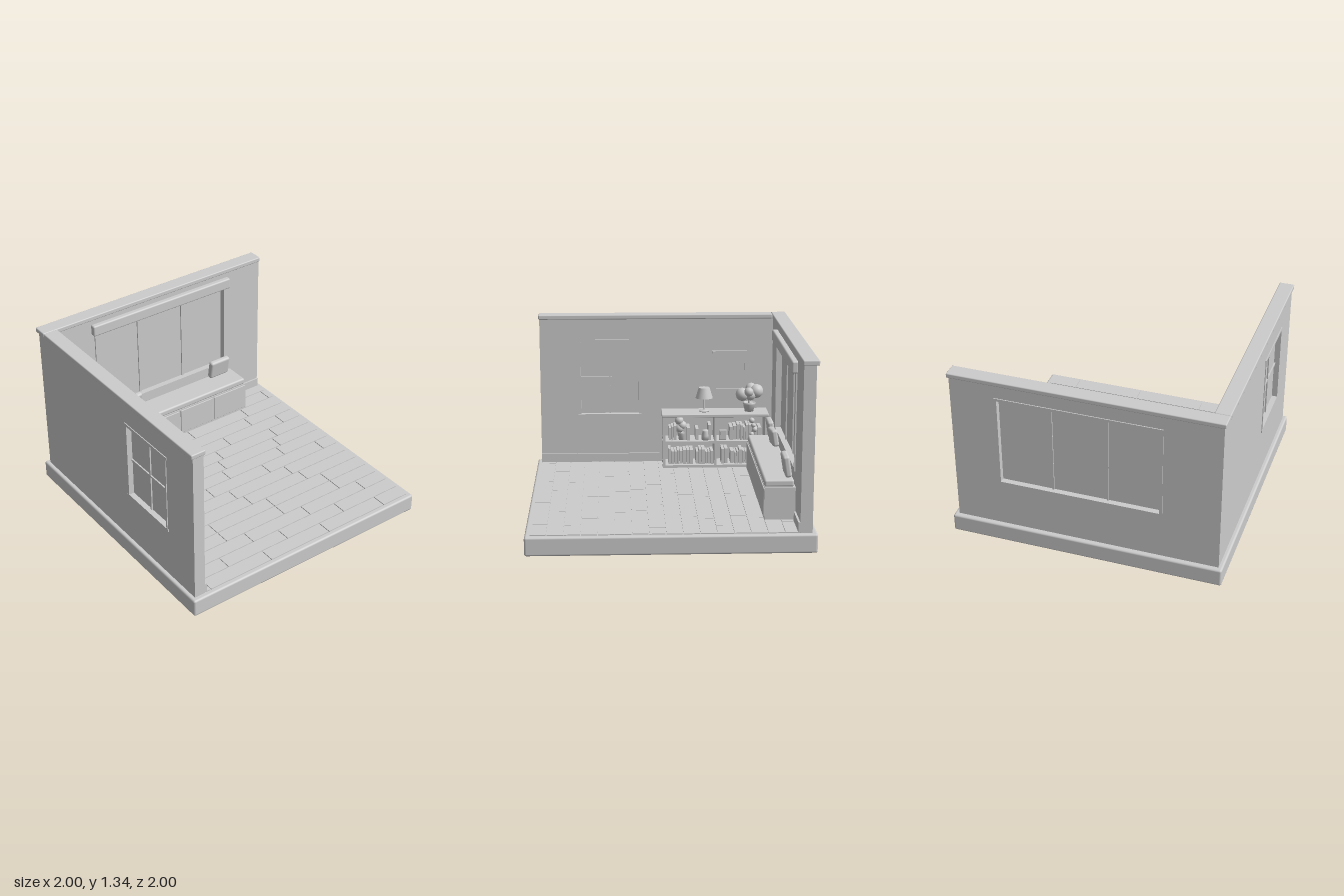
import * as THREE from 'three';
import { RoundedBoxGeometry } from 'three/addons/geometries/RoundedBoxGeometry.js';

export function createModel() {
  const room = new THREE.Group();
  room.name = 'roomCorner';
  const clay = new THREE.MeshStandardMaterial({ color: 0xcccccc });
  clay.name = 'plain grey';

  let seed = 7;
  const rand = () => (seed = (seed * 16807) % 2147483647) / 2147483647;

  const group = (name, parent = room) => {
    const g = new THREE.Group();
    g.name = name;
    parent.add(g);
    return g;
  };
  const add = (parent, name, geometry, x = 0, y = 0, z = 0) => {
    const m = new THREE.Mesh(geometry, clay);
    m.name = name;
    m.position.set(x, y, z);
    parent.add(m);
    return m;
  };
  // box given by its bounds, with an optional rounded edge
  const box = (parent, name, x0, x1, y0, y1, z0, z1, r = 0) => {
    const s = [x1 - x0, y1 - y0, z1 - z0];
    const geo = r ? new RoundedBoxGeometry(...s, 2, r) : new THREE.BoxGeometry(...s);
    return add(parent, name, geo, (x0 + x1) / 2, (y0 + y1) / 2, (z0 + z1) / 2);
  };
  const ball = (parent, name, x, y, z, r) =>
    add(parent, name, new THREE.SphereGeometry(r, 18, 12), x, y, z);
  const lathe = (parent, name, points, x, y, z) =>
    add(parent, name, new THREE.LatheGeometry(points.map(p => new THREE.Vector2(...p)), 28), x, y, z);

  // base slab and staggered floor planks
  box(room, 'base', -1, 1, 0, 0.135, -1, 1, 0.015);
  const floor = group('floor');
  const rowW = 0.1163, plankL = 0.525, gap = 0.003;
  const joints = [0.74, 0.45, 0.23, 0.605, 0.08, 0.485, -0.615, 0.31, 0.54, -0.46, -0.4, 0.28, 0.05, 0.63, 0.4, 0.2];
  joints.forEach((joint, i) => {
    const z1 = 0.966 - i * rowW, z0 = Math.max(z1 - rowW, -0.88);
    const first = joint - Math.ceil((joint + 0.88) / plankL) * plankL;
    for (let x = first; x < 0.966; x += plankL) {
      const a = Math.max(x, -0.88), b = Math.min(x + plankL, 0.966);
      if (b - a > 0.02) box(floor, 'plank', a + gap, b - gap, 0.128, 0.142, z0 + gap, z1 - gap);
    }
  });

  // back wall around its wide window
  const back = group('backWall');
  const bz = [-0.965, -0.88];
  box(back, 'wallLeftPart', -0.97, -0.545, 0.13, 1.305, ...bz);
  box(back, 'wallRightPart', 0.625, 0.965, 0.13, 1.305, ...bz);
  box(back, 'wallBelow', -0.545, 0.625, 0.13, 0.485, ...bz);
  box(back, 'wallAbove', -0.545, 0.625, 1.185, 1.305, ...bz);
  box(back, 'cap', -0.985, 0.975, 1.3, 1.336, -0.985, -0.872, 0.008);
  box(back, 'glass', -0.545, 0.625, 0.485, 1.185, -0.93, -0.915);
  for (const x of [-0.56, 0.62]) box(back, 'frameSide', x, x + 0.02, 0.48, 1.195, -0.972, -0.87);
  for (const y of [0.48, 1.175]) box(back, 'frameRail', -0.56, 0.64, y, y + 0.02, -0.972, -0.87);
  for (const x of [-0.16, 0.24]) box(back, 'mullion', x - 0.006, x + 0.006, 0.49, 1.185, -0.94, -0.905);
  box(back, 'valance', -0.585, 0.66, 1.18, 1.266, -0.885, -0.838, 0.012);
  box(back, 'baseboardRight', 0.715, 0.965, 0.14, 0.21, -0.885, -0.866);
  box(back, 'baseboardLeft', -0.87, -0.635, 0.14, 0.21, -0.885, -0.866);

  // left wall around its four-pane window
  const side = group('sideWall');
  const sx = [-0.97, -0.885];
  box(side, 'wallFrontPart', ...sx, 0.13, 1.305, 0.65, 0.965);
  box(side, 'wallRearPart', ...sx, 0.13, 1.305, -0.88, 0.18);
  box(side, 'wallBelow', ...sx, 0.13, 0.525, 0.18, 0.65);
  box(side, 'wallAbove', ...sx, 1.125, 1.305, 0.18, 0.65);
  box(side, 'cap', -0.985, -0.872, 1.3, 1.336, -0.872, 0.972, 0.008);
  box(side, 'glass', -0.935, -0.92, 0.525, 1.125, 0.18, 0.65);
  for (const y of [0.515, 1.117]) box(side, 'frameRail', -0.976, -0.875, y, y + 0.02, 0.164, 0.666);
  for (const z of [0.172, 0.645]) box(side, 'frameSide', -0.976, -0.878, 0.525, 1.125, z, z + 0.013);
  box(side, 'mullion', -0.945, -0.91, 0.53, 1.12, 0.408, 0.422);
  box(side, 'crossBar', -0.945, -0.91, 0.818, 0.832, 0.185, 0.645);
  box(side, 'baseboard', -0.89, -0.87, 0.14, 0.21, 0.02, 0.965);

  // framed picture on the left wall
  const picture = group('picture');
  box(picture, 'canvas', -0.886, -0.871, 0.73, 1.03, -0.665, -0.41);
  for (const y of [0.72, 1.022]) box(picture, 'frameRail', -0.886, -0.863, y, y + 0.02, -0.675, -0.398);
  for (const z of [-0.675, -0.415]) box(picture, 'frameSide', -0.886, -0.863, 0.72, 1.042, z, z + 0.017);

  // window bench with door panels, seat pad and pillows
  const bench = group('bench');
  box(bench, 'chest', -0.607, 0.685, 0.14, 0.376, -0.88, -0.664);
  for (let i = 0; i < 4; i++) {
    const x = -0.6 + i * 0.321;
    box(bench, 'door', x + 0.006, x + 0.312, 0.16, 0.366, -0.668, -0.656, 0.003);
  }
  box(bench, 'seatPad', -0.592, 0.675, 0.376, 0.428, -0.87, -0.662, 0.015);
  for (const [x, w, h, turn] of [[-0.465, 0.18, 0.155, 0], [-0.28, 0.15, 0.13, 0.12], [0.537, 0.18, 0.155, 0]]) {
    const p = add(bench, 'pillow', new RoundedBoxGeometry(w, h, 0.048, 3, 0.018), x, 0.427 + h / 2, -0.828);
    p.rotation.set(0.16, turn, 0);
  }

  // open bookcase along the left wall
  const shelf = group('bookcase');
  const kx = [-0.88, -0.668];
  box(shelf, 'top', -0.88, -0.658, 0.552, 0.576, -0.835, 0.008, 0.004);
  box(shelf, 'backPanel', -0.88, -0.862, 0.14, 0.555, -0.825, 0);
  box(shelf, 'bottom', ...kx, 0.14, 0.163, -0.825, 0);
  box(shelf, 'middleShelf', ...kx, 0.337, 0.357, -0.825, 0);
  for (const z of [-0.825, -0.425, -0.02]) box(shelf, 'upright', ...kx, 0.14, 0.555, z, z + 0.018);

  // book runs: start z, end z, shelf height
  const books = group('books');
  for (const [za, zb, y] of [[-0.05, -0.115, 0.357], [-0.165, -0.21, 0.357], [-0.26, -0.3, 0.357],
    [-0.36, -0.4, 0.357], [-0.53, -0.66, 0.357], [-0.66, -0.79, 0.357], [-0.045, -0.24, 0.163],
    [-0.265, -0.395, 0.163], [-0.465, -0.52, 0.163], [-0.54, -0.8, 0.163]]) {
    for (let z = za; z > zb + 0.015;) {
      const w = 0.015 + rand() * 0.012;
      box(books, 'book', -0.84, -0.695 - rand() * 0.02, y, y + 0.09 + rand() * 0.035, z - w, z);
      z -= w + 0.004;
    }
  }

  // small ornaments on the upper shelf
  const ornaments = group('ornaments');
  const potShape = (r, h) => [[0, 0], [r * 0.68, 0], [r * 0.95, h * 0.82], [r, h * 0.82], [r, h],
    [r * 0.85, h], [r * 0.8, h * 0.88], [0, h * 0.88]];
  lathe(ornaments, 'smallPot', potShape(0.032, 0.065), -0.73, 0.357, -0.15);
  for (const [y, z, r] of [[0.515, -0.13, 0.034], [0.475, -0.155, 0.034], [0.45, -0.135, 0.034]])
    ball(ornaments, 'smallLeaves', -0.73, y, z, r);
  lathe(ornaments, 'vase', [[0, 0], [0.028, 0], [0.03, 0.035], [0.022, 0.07], [0.024, 0.08], [0, 0.08]], -0.72, 0.357, -0.338);
  box(ornaments, 'photoFrame', -0.72, -0.7, 0.357, 0.44, -0.505, -0.445, 0.006);
  box(ornaments, 'photo', -0.702, -0.697, 0.368, 0.429, -0.495, -0.455);

  // table lamp
  const lamp = group('lamp');
  lathe(lamp, 'lampFoot', [[0, 0], [0.038, 0], [0.038, 0.008], [0.012, 0.014], [0, 0.014]], -0.773, 0.576, -0.33);
  add(lamp, 'lampPole', new THREE.CylinderGeometry(0.006, 0.006, 0.14, 12), -0.773, 0.645, -0.33);
  add(lamp, 'lampShade', new THREE.CylinderGeometry(0.043, 0.068, 0.083, 28), -0.773, 0.728, -0.33);

  // potted plant with a trailing vine
  const plant = group('plant');
  lathe(plant, 'pot', potShape(0.05, 0.072), -0.773, 0.576, -0.688);
  add(plant, 'stem', new THREE.CylinderGeometry(0.008, 0.008, 0.1, 8), -0.773, 0.67, -0.688);
  for (const [x, y, z, r] of [[-0.785, 0.735, -0.745, 0.055], [-0.77, 0.712, -0.632, 0.052],
    [-0.722, 0.742, -0.68, 0.036], [-0.812, 0.75, -0.705, 0.045], [-0.83, 0.71, -0.665, 0.028],
    [-0.765, 0.71, -0.695, 0.045]])
    ball(plant, 'leafCluster', x, y, z, r);
  [0.525, 0.488, 0.452, 0.415, 0.385, 0.355].forEach((y, i) =>
    ball(plant, 'vineLeaf', -0.664 + (i % 2) * 0.008, y, -0.7 - (i % 3) * 0.012, i % 2 ? 0.018 : 0.022));

  return room;
}
